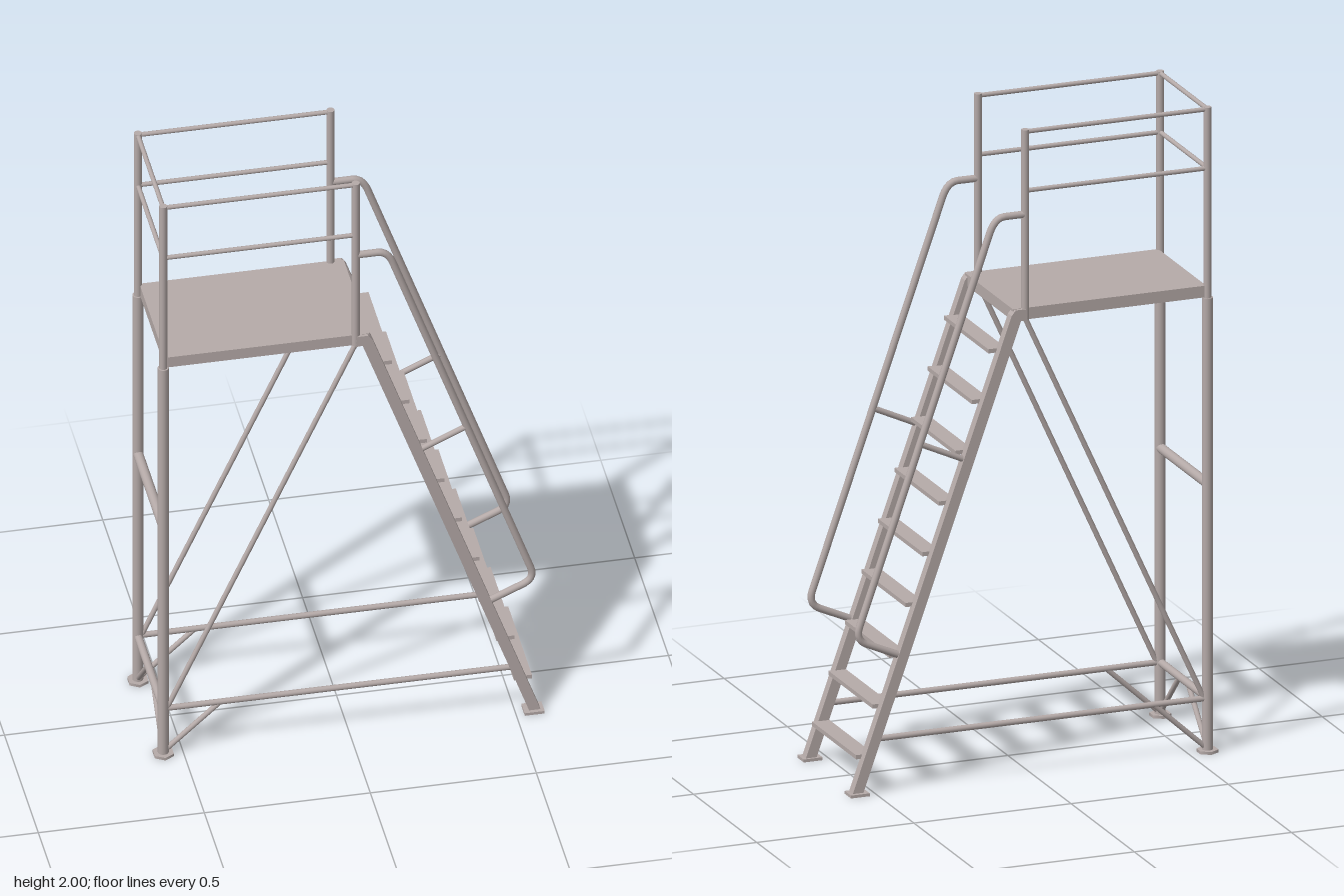
import * as THREE from 'three';

export function createModel() {
  const model = new THREE.Group();
  const steel = new THREE.MeshStandardMaterial({ color: 0xb5aaa8 });
  steel.name = 'warm grey steel';
  const Z = 0.187, BACK = -0.56, FRONT = 0.02;

  const add = (name, geometry, x = 0, y = 0, z = 0) => {
    const mesh = new THREE.Mesh(geometry, steel);
    mesh.name = name;
    mesh.position.set(x, y, z);
    model.add(mesh);
    return mesh;
  };
  const box = (name, w, h, d, x, y, z) => add(name, new THREE.BoxGeometry(w, h, d), x, y, z);

  // Straight round bar between two points
  const bar = (name, a, b, r) => {
    const p = new THREE.Vector3(...a), q = new THREE.Vector3(...b);
    const dir = q.clone().sub(p);
    const mesh = add(name, new THREE.CylinderGeometry(r, r, dir.length(), 14));
    mesh.position.copy(p).add(q).multiplyScalar(0.5);
    mesh.quaternion.setFromUnitVectors(new THREE.Vector3(0, 1, 0), dir.normalize());
  };

  // Platform deck
  box('platform', 0.615, 0.036, 0.38, -0.2475, 1.429, 0);

  // Side profile of a stair stringer with its short bend at the top
  const stringer = new THREE.Shape([
    [0.018, 1.41], [0.022, 1.446], [0.055, 1.446], [0.068, 1.43],
    [0.575, 0.005], [0.541, 0.005], [0.038, 1.412],
  ].map(([x, y]) => new THREE.Vector2(x, y)));
  const stringerGeometry = new THREE.ExtrudeGeometry(stringer, { depth: 0.03, bevelEnabled: false });
  stringerGeometry.translate(0, 0, -0.015);

  for (const s of [1, -1]) {
    const z = s * Z;
    // Rear leg, hexagonal foot and guard posts
    bar('rearLeg', [BACK, 0, z], [BACK, 1.41, z], 0.0165);
    add('rearFoot', new THREE.CylinderGeometry(0.033, 0.033, 0.009, 6), BACK, 0.0045, z);
    bar('rearGuardPost', [BACK, 1.41, z], [BACK, 2, z], 0.012);
    bar('frontGuardPost', [FRONT, 1.412, z], [FRONT, 2, z], 0.012);

    // Guard rails along the side
    for (const y of [1.993, 1.81]) bar('sideGuardRail', [BACK, y, z], [FRONT, y, z], 0.007);

    // Frame bracing
    bar('diagonalBrace', [-0.55, 0.165, z], [0.025, 1.425, z], 0.008);
    bar('lowerSideRail', [BACK, 0.167, z], [0.5, 0.167, z], 0.009);
    bar('sideKneeBrace', [BACK, 0.01, z], [-0.39, 0.165, z], 0.008);
    bar('rearKneeBrace', [BACK, 0.01, z], [BACK, 0.165, s * 0.035], 0.008);

    // Stair stringer and foot plate
    add('stairStringer', stringerGeometry, 0, 0, s * 0.185);
    box('stairFoot', 0.06, 0.009, 0.05, 0.554, 0.0045, z);

    // Bent stair handrail with a middle bracket
    const path = new THREE.CurvePath();
    const v = (x, y) => new THREE.Vector3(x, y, z);
    path.add(new THREE.LineCurve3(v(FRONT, 1.737), v(0.085, 1.737)));
    path.add(new THREE.QuadraticBezierCurve3(v(0.085, 1.737), v(0.117, 1.737), v(0.133, 1.69)));
    path.add(new THREE.LineCurve3(v(0.133, 1.69), v(0.547, 0.52)));
    path.add(new THREE.QuadraticBezierCurve3(v(0.547, 0.52), v(0.561, 0.48), v(0.522, 0.463)));
    path.add(new THREE.LineCurve3(v(0.522, 0.463), v(0.42, 0.418)));
    add('stairHandrail', new THREE.TubeGeometry(path, 120, 0.011, 12, false));
    bar('handrailBracket', [0.215, 1.0, z], [0.352, 1.063, z], 0.009);
  }

  // Cross members at the back
  for (const y of [1.993, 1.81]) bar('rearGuardRail', [BACK, y, -Z], [BACK, y, Z], 0.007);
  bar('rearLowerCrossbar', [BACK, 0.167, -Z], [BACK, 0.167, Z], 0.012);
  bar('rearMiddleCrossbar', [BACK, 0.832, -Z], [BACK, 0.832, Z], 0.015);

  // Stair treads
  for (let i = 0; i < 9; i++) {
    box('stairTread', 0.054, 0.013, 0.35, 0.526 - i * 0.0526, 0.113 + i * 0.151, 0);
  }
  return model;
}
